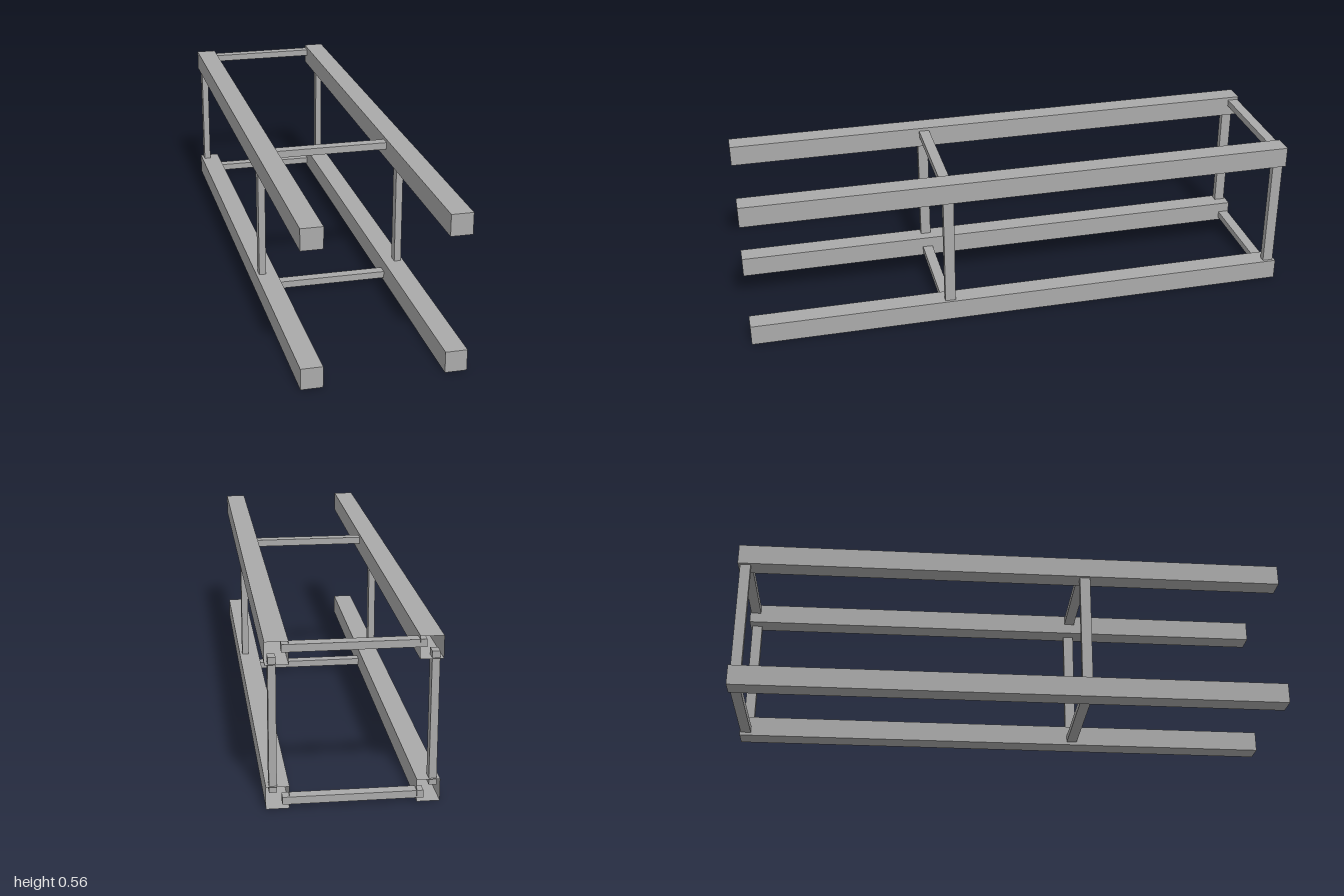
import * as THREE from 'three';

export function createModel() {
  const model = new THREE.Group();
  model.name = 'railFrame';
  const grey = new THREE.MeshStandardMaterial({ color: 0xaaaaaa, side: THREE.DoubleSide });
  grey.name = 'grey';

  function add(name, geometry, x, y, z) {
    const mesh = new THREE.Mesh(geometry, grey);
    mesh.name = name;
    mesh.position.set(x, y, z);
    model.add(mesh);
  }

  const rail = 0.0745, strut = 0.025, depth = 0.038;
  const railX = 0.24, lowY = rail / 2, highY = 0.555 - rail / 2, midY = 0.2775;
  const poke = 0.022; // how far each strut end reaches into a rail

  // Long rails: boxes left open at the back end
  const railGeometry = new THREE.BoxGeometry(rail, rail, 2);
  railGeometry.setIndex(Array.from(railGeometry.index.array).slice(0, 30));
  railGeometry.clearGroups();
  for (const x of [-railX, railX]) {
    for (const y of [lowY, highY]) {
      add((y > midY ? 'upper' : 'lower') + (x > 0 ? 'Left' : 'Right') + 'Rail', railGeometry, x, y, 0);
    }
  }

  // Two rings of struts, set towards the outside of the rails
  const post = new THREE.BoxGeometry(strut, 0.406 + 2 * poke, depth);
  const bar = new THREE.BoxGeometry(0.406 + 2 * poke, strut, depth);
  const rings = [
    { name: 'middle', postZ: 0.272, barZ: 0.272 },
    { name: 'back', postZ: -0.973, barZ: -0.977 },
  ];
  for (const ring of rings) {
    for (const side of [-1, 1]) {
      add(ring.name + (side > 0 ? 'Left' : 'Right') + 'Post', post, side * 0.2545, midY, ring.postZ);
      add(ring.name + (side > 0 ? 'Upper' : 'Lower') + 'Bar', bar, 0, midY + side * 0.2537, ring.barZ);
    }
  }
  return model;
}
